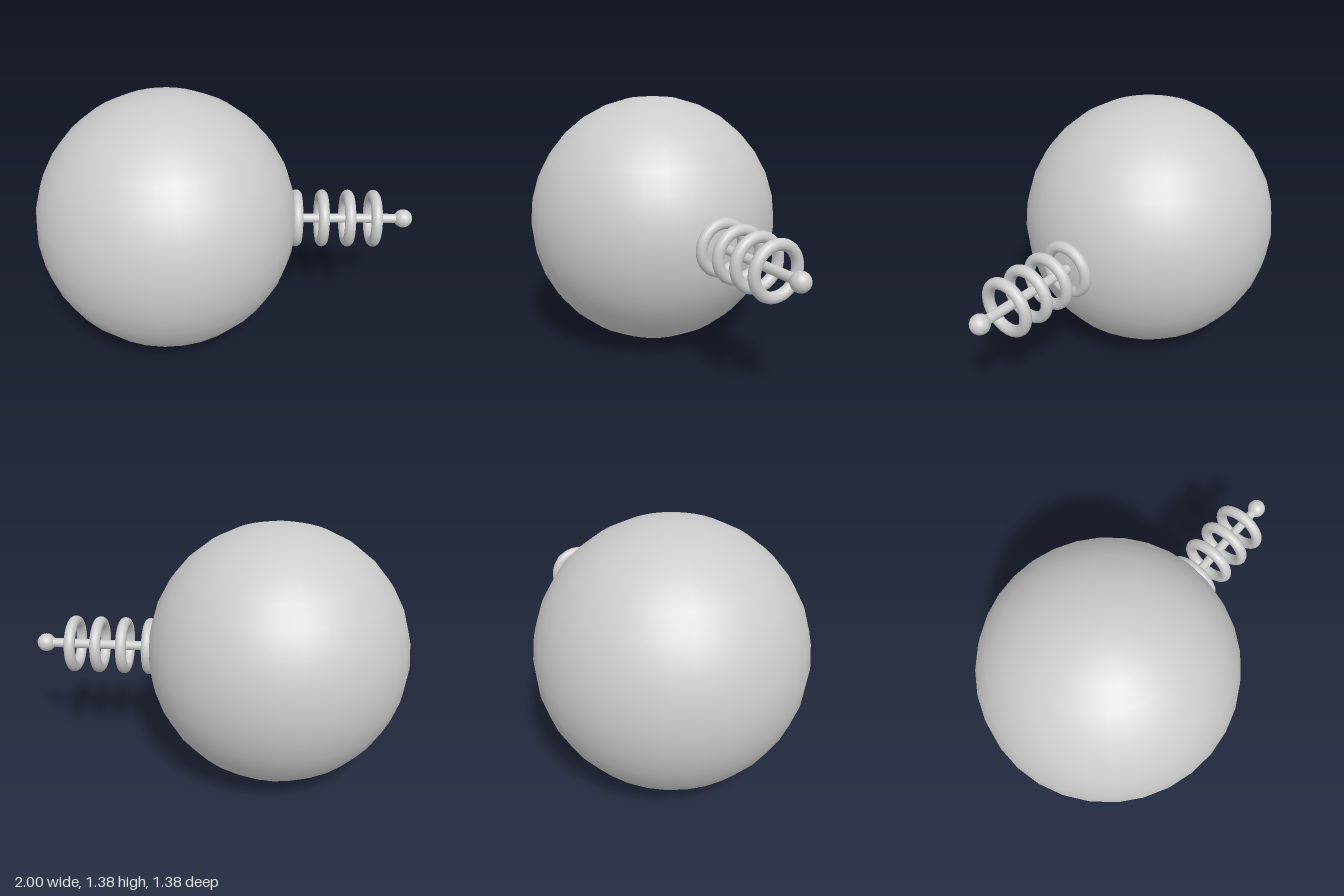
import * as THREE from 'three';

export function createModel() {
  const model = new THREE.Group();
  const material = new THREE.MeshStandardMaterial({ color: 0xcccccc });
  const axisY = 0.688;

  const add = (name, geometry, x) => {
    const mesh = new THREE.Mesh(geometry, material);
    mesh.name = name;
    mesh.position.set(x, axisY, 0);
    model.add(mesh);
    return mesh;
  };

  // Large ball
  add('body', new THREE.SphereGeometry(0.688, 32, 16), -0.312);

  // Rod running out of the ball along +x, with a knob at its end
  const start = 0.33, end = 0.95;
  add('rod', new THREE.CylinderGeometry(0.025, 0.025, end - start, 16).rotateZ(-Math.PI / 2), (start + end) / 2);
  add('tipKnob', new THREE.SphereGeometry(0.049, 24, 16), 0.951);

  // Evenly spaced rings around the rod
  const ring = new THREE.TorusGeometry(0.124, 0.029, 16, 48).rotateY(Math.PI / 2);
  for (let i = 0; i < 4; i++) add(`ring${i + 1}`, ring, 0.376 + i * 0.1375);

  return model;
}
